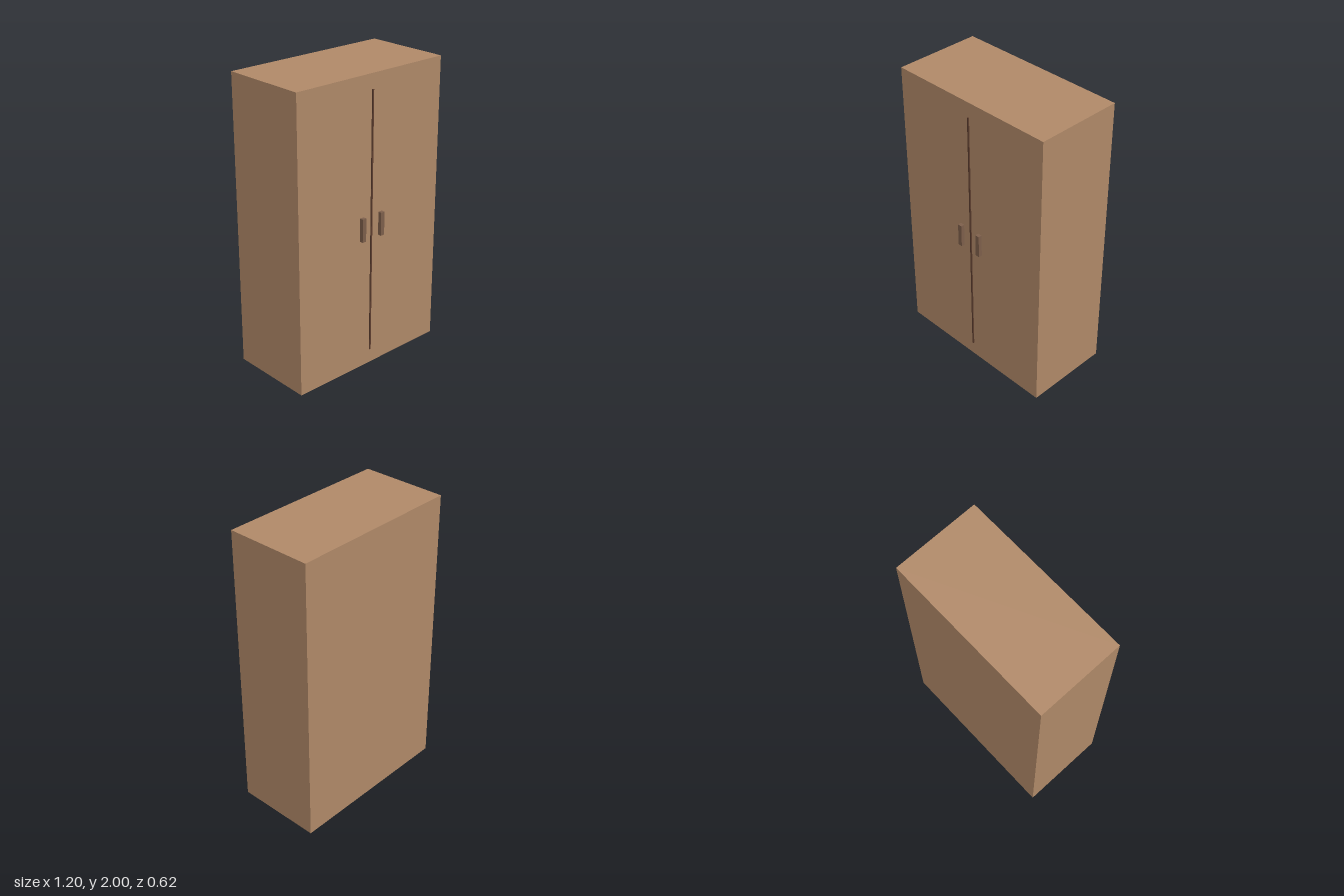
import * as THREE from 'three';

function material(name, color) {
  const m = new THREE.MeshStandardMaterial({ color });
  m.name = name;
  return m;
}

export function createModel() {
  const wood = material('wood', 0xb08968);
  const handleBrown = material('handle brown', 0x7d5f4b);
  const seamBrown = material('seam brown', 0x5c3d2e);

  const model = new THREE.Group();
  model.name = 'wardrobe';

  const addBox = (name, size, position, mat) => {
    const mesh = new THREE.Mesh(new THREE.BoxGeometry(...size), mat);
    mesh.position.set(...position);
    mesh.name = name;
    model.add(mesh);
  };

  // Cabinet body
  const front = 0.2875;
  addBox('cabinet', [1.2, 2, 0.6], [0, 1, front - 0.3], wood);

  // Raised strip where the two doors meet
  addBox('doorSeam', [0.01, 1.8, 0.008], [0, 1, front + 0.004], seamBrown);

  // One pull handle on each door
  for (const [name, side] of [['leftHandle', 1], ['rightHandle', -1]]) {
    addBox(name, [0.03, 0.16, 0.025], [side * 0.08, 1, front + 0.0125], handleBrown);
  }
  return model;
}
